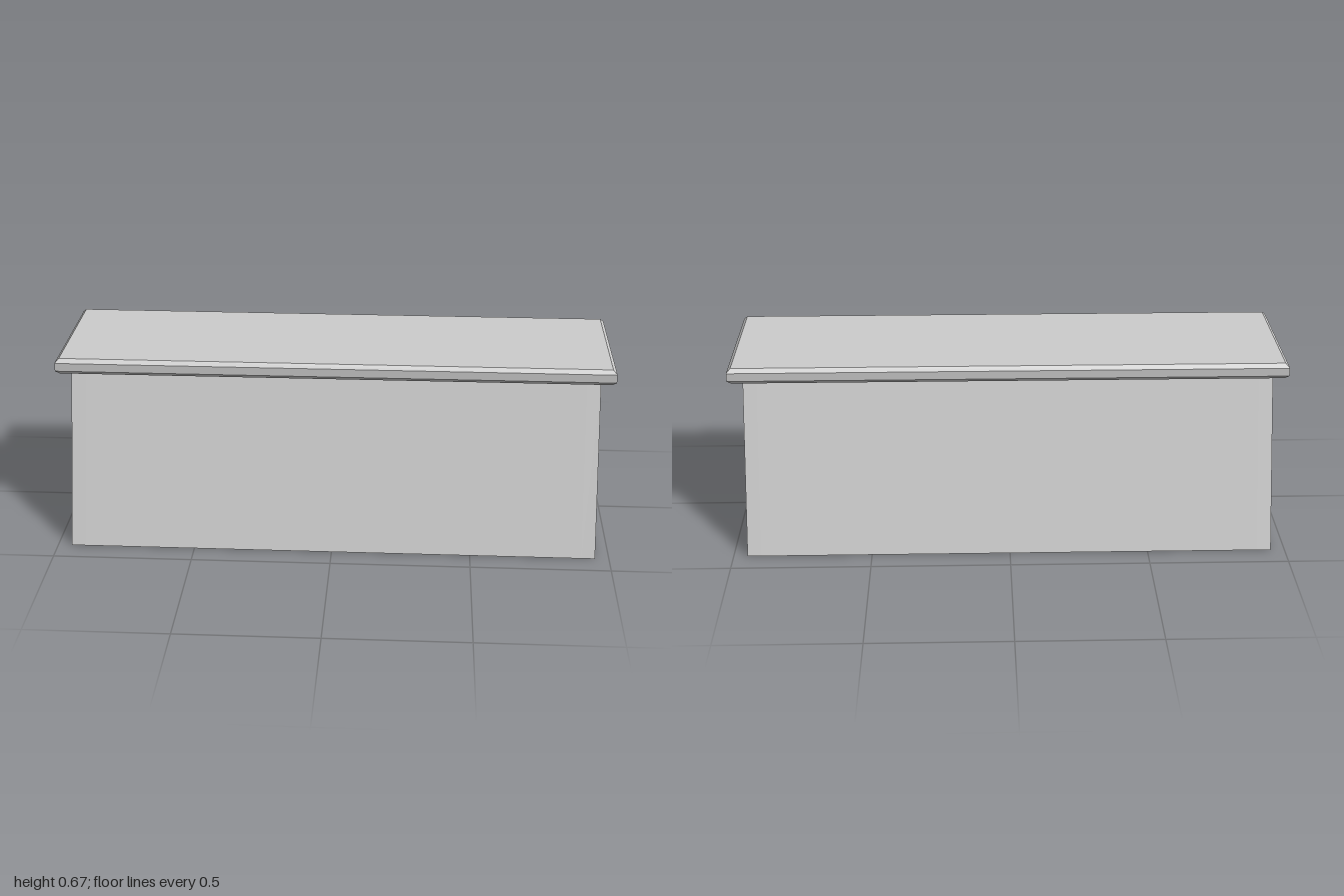
import * as THREE from 'three';

const HALF_LENGTH = 0.95;
const SLOT_DEPTH = 0.05;
const BODY_TOP = 0.612;

const outline = [[-0.415, 0], [0.415, 0], [0.219, BODY_TOP], [-0.219, BODY_TOP]];

// Hand slots in the end walls, as [z, y] corners
const centreSlots = [
  [[-0.09, 0.513], [0.09, 0.513], [0.074, 0.562], [-0.074, 0.562]],
  [[-0.13, 0.36], [0.13, 0.36], [0.112, 0.422], [-0.112, 0.422]],
];
const sideSlots = [
  [[0.197, 0.223], [0.294, 0.223], [0.282, 0.263], [0.197, 0.263]],
  [[0.227, 0.062], [0.339, 0.062], [0.324, 0.109], [0.227, 0.109]],
];
const mirrored = sideSlots.map((s) => s.map(([z, y]) => [-z, y]).reverse());
const slots = [...centreSlots, ...sideSlots, ...mirrored];

const toPoints = (list) => list.map(([a, b]) => new THREE.Vector2(a, b));

// Extrudes the trapezoid section along x, centred on the given x
function section(length, x, holes) {
  const shape = new THREE.Shape(toPoints(outline));
  shape.holes = holes.map((h) => new THREE.Path(toPoints(h)));
  return new THREE.ExtrudeGeometry(shape, { depth: length, bevelEnabled: false })
    .translate(0, 0, -length / 2)
    .rotateY(Math.PI / 2)
    .translate(x, 0, 0);
}

export function createModel() {
  const group = new THREE.Group();
  const material = new THREE.MeshStandardMaterial({ color: 0xcccccc, flatShading: true });
  const add = (name, geometry) => {
    const mesh = new THREE.Mesh(geometry, material);
    mesh.name = name;
    group.add(mesh);
  };

  // Tapered body; its ends form the backs of the slots
  add('body', section(2 * (HALF_LENGTH - SLOT_DEPTH), 0, []));

  // End walls pierced by the slots
  for (const [name, side] of [['leftEndWall', 1], ['rightEndWall', -1]]) {
    add(name, section(SLOT_DEPTH, side * (HALF_LENGTH - SLOT_DEPTH / 2), slots));
  }

  // Overhanging top pad with chamfered edges
  const bevel = 0.014;
  const x = 1 - bevel, z = 0.266 - bevel;
  const padShape = new THREE.Shape(toPoints([[-x, -z], [x, -z], [x, z], [-x, z]]));
  const pad = new THREE.ExtrudeGeometry(padShape, {
    depth: 0.03, bevelEnabled: true, bevelSegments: 1, bevelSize: bevel, bevelThickness: bevel,
  });
  pad.rotateX(-Math.PI / 2).translate(0, 0.611 + bevel, 0);
  add('topPad', pad);

  return group;
}
